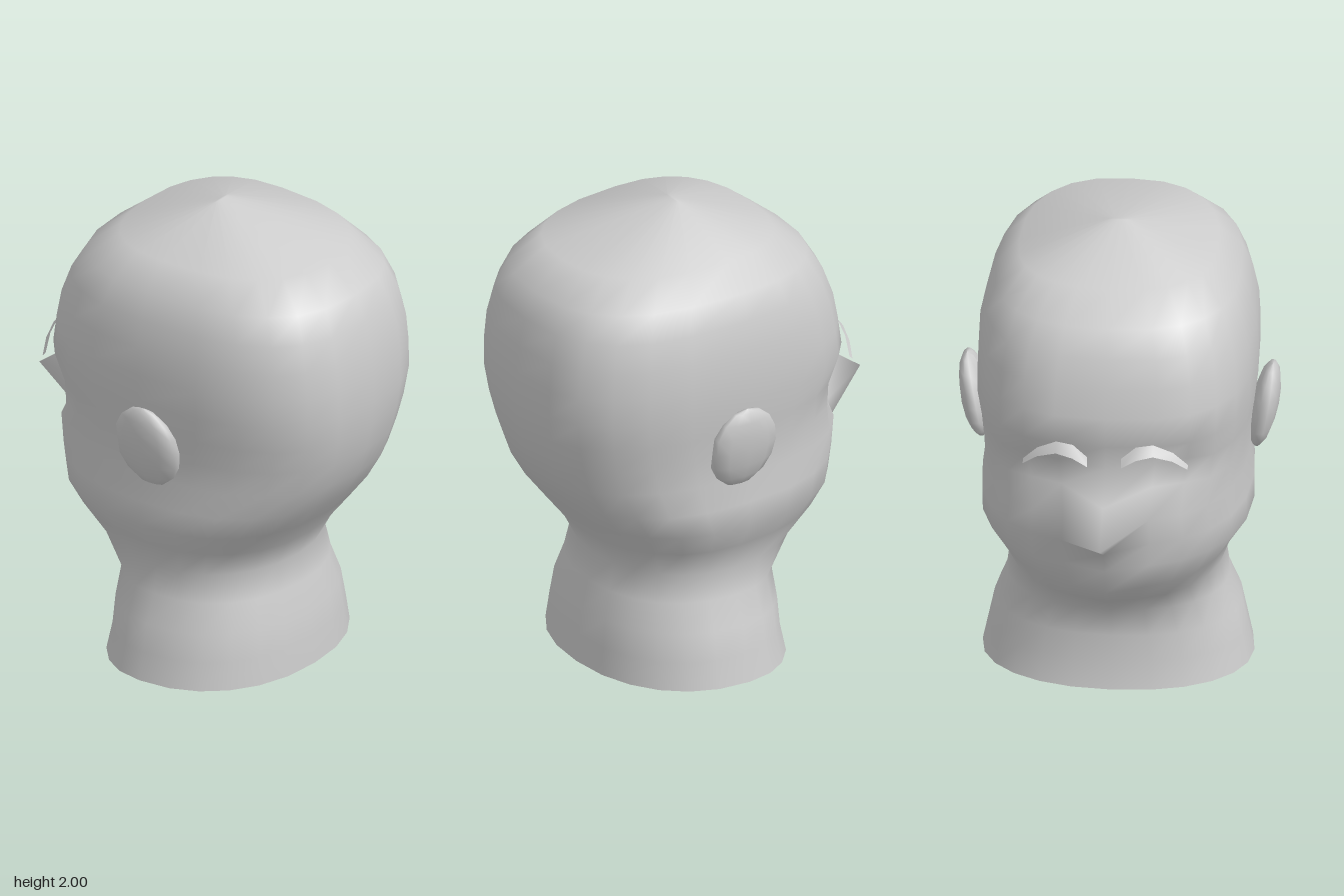
import * as THREE from 'three';

const skin = new THREE.MeshStandardMaterial({ color: 0xcccccc, side: THREE.DoubleSide });
skin.name = 'plain grey';

// Cross-sections from neck to crown: y, half width, front z, back z, squareness, nose/mouth ridge z
const RINGS = [
  [0, 0.56, -0.31, 0.56, 2.2], [0.12, 0.535, -0.285, 0.55, 2.2],
  [0.24, 0.51, -0.283, 0.535, 2.2], [0.36, 0.46, -0.28, 0.5, 2.2],
  [0.48, 0.445, -0.41, 0.475, 2.1, -0.43], [0.6, 0.485, -0.53, 0.535, 2.2, -0.575],
  [0.72, 0.56, -0.56, 0.625, 2.3, -0.605], [0.83, 0.56, -0.57, 0.71, 2.4, -0.66],
  [0.95, 0.545, -0.59, 0.785, 2.4, -0.86], [1.07, 0.55, -0.56, 0.825, 2.5, -0.7],
  [1.18, 0.56, -0.55, 0.85, 2.6, -0.56], [1.3, 0.575, -0.595, 0.863, 2.7],
  [1.42, 0.576, -0.575, 0.862, 2.7], [1.54, 0.57, -0.55, 0.85, 2.7],
  [1.66, 0.545, -0.505, 0.82, 2.7], [1.77, 0.505, -0.44, 0.77, 2.6],
  [1.88, 0.41, -0.3, 0.635, 2.5], [2, 0.04, 0.075, 0.085, 2],
];
const COLUMNS = 24;
const CENTRE_Z = 0.08;
const power = (v, p) => Math.sign(v) * Math.abs(v) ** (2 / p);

function surface(points, index) {
  const geometry = new THREE.BufferGeometry();
  geometry.setAttribute('position', new THREE.Float32BufferAttribute(points, 3));
  geometry.setIndex(index);
  geometry.computeVertexNormals();
  return geometry;
}

// Head and neck: rounded rings joined in a loop, open at the bottom
function headGeometry() {
  const points = [], index = [];
  RINGS.forEach(([y, w, front, back, p, ridge], i) => {
    for (let j = 0; j < COLUMNS; j++) {
      const t = (j / COLUMNS) * Math.PI * 2;
      const c = power(Math.cos(t), p);
      let z = CENTRE_Z + (c > 0 ? c * (front - CENTRE_Z) : -c * (back - CENTRE_Z));
      if (j === 0 && ridge !== undefined) z = ridge;
      // eye sockets
      const side = Math.min(j, COLUMNS - j);
      if ((side === 1 || side === 2) && y > 1 && y < 1.2) z += 0.04;
      points.push(w * power(Math.sin(t), p), y, z);
      if (i === RINGS.length - 1) continue;
      const a = i * COLUMNS + j, b = i * COLUMNS + ((j + 1) % COLUMNS);
      index.push(a, a + COLUMNS, b, b, a + COLUMNS, b + COLUMNS);
    }
  });
  // close the tiny crown ring
  const top = (RINGS.length - 1) * COLUMNS;
  points.push(0, 2, CENTRE_Z);
  for (let j = 0; j < COLUMNS; j++) {
    index.push(top + j, top + COLUMNS, top + ((j + 1) % COLUMNS));
  }
  return surface(points, index);
}

// Ear: a flattened sphere leaning outward, blunt at one end
function earGeometry() {
  const geometry = new THREE.SphereGeometry(1, 10, 8);
  const pos = geometry.attributes.position;
  for (let i = 0; i < pos.count; i++) {
    const x = pos.getX(i), y = pos.getY(i), z = pos.getZ(i);
    pos.setXYZ(i, x * 0.058 + y * 0.033, y * 0.187, Math.min(z * 0.16, 0.14));
  }
  geometry.computeVertexNormals();
  return geometry;
}

// Brow: a thin arched ribbon, mirrored by side
function browGeometry(side) {
  const upper = [[0.07, 1.27, -0.63], [0.13, 1.32, -0.62], [0.2, 1.325, -0.605], [0.28, 1.285, -0.59], [0.34, 1.22, -0.57]];
  const lower = [[0.07, 1.235, -0.65], [0.13, 1.275, -0.655], [0.2, 1.285, -0.635], [0.28, 1.255, -0.612], [0.34, 1.205, -0.585]];
  const points = [], index = [];
  upper.forEach((u, i) => {
    for (const [x, y, z] of [u, lower[i]]) points.push(x * side, y, z);
    if (i === upper.length - 1) return;
    const a = i * 2;
    if (side > 0) index.push(a, a + 2, a + 1, a + 1, a + 2, a + 3);
    else index.push(a, a + 1, a + 2, a + 1, a + 3, a + 2);
  });
  return surface(points, index);
}

export function createModel() {
  const model = new THREE.Group();
  model.name = 'headBust';
  const add = (name, geometry) => {
    const mesh = new THREE.Mesh(geometry, skin);
    mesh.name = name;
    model.add(mesh);
    return mesh;
  };

  add('head', headGeometry());

  // The right ear is the left one turned half way round
  const ear = earGeometry();
  add('leftEar', ear).position.set(0.597, 1.123, 0.142);
  const rightEar = add('rightEar', ear);
  rightEar.position.set(-0.597, 1.123, 0.15);
  rightEar.rotation.y = Math.PI;

  add('leftBrow', browGeometry(1));
  add('rightBrow', browGeometry(-1));
  return model;
}
